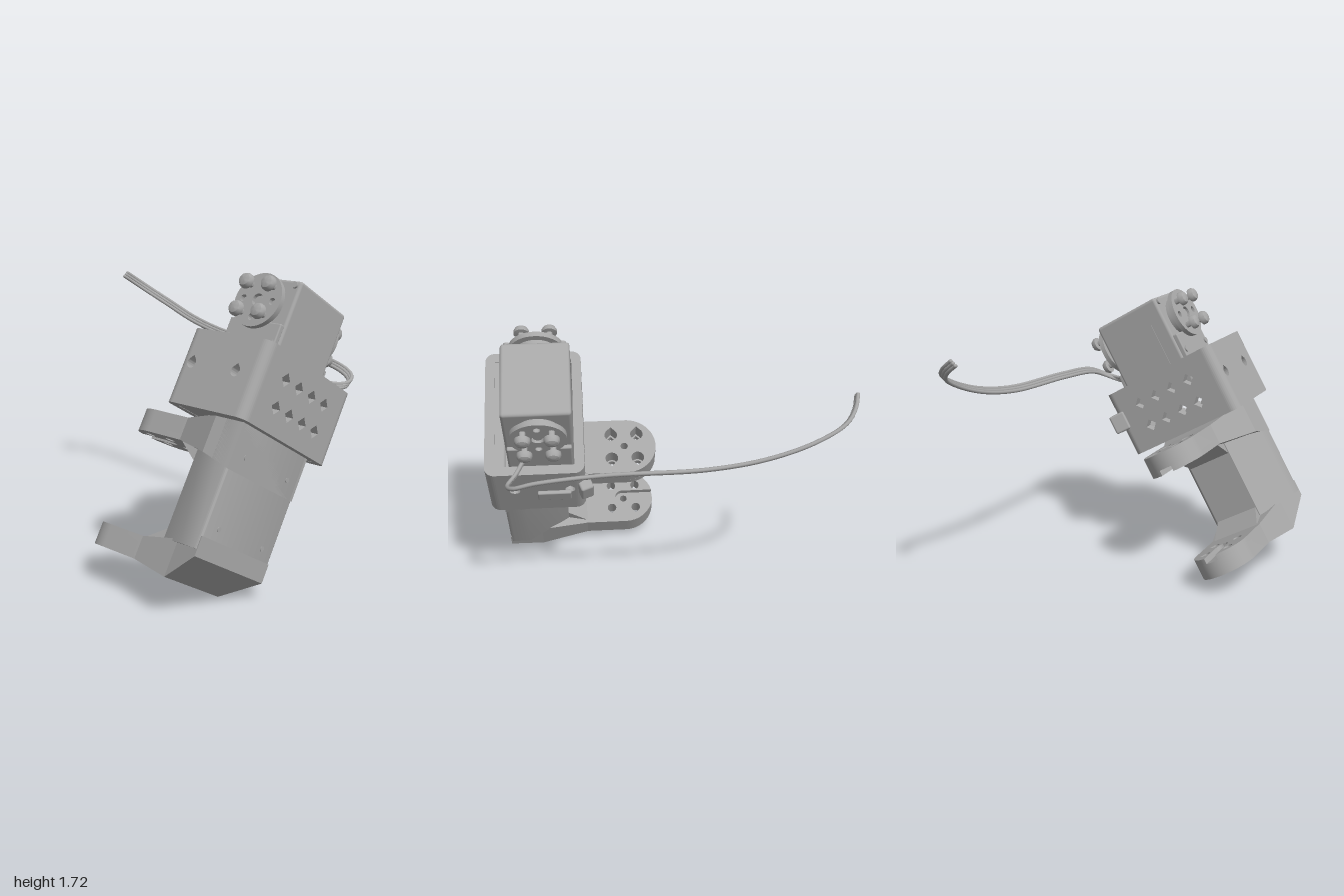
import * as THREE from 'three';
import { toCreasedNormals } from 'three/addons/utils/BufferGeometryUtils.js';
import { RoundedBoxGeometry } from 'three/addons/geometries/RoundedBoxGeometry.js';
import { ConvexGeometry } from 'three/addons/geometries/ConvexGeometry.js';

const grey = new THREE.MeshStandardMaterial({ color: 0xa6a6a6 });
grey.name = 'grey plastic';

function add(parent, name, geo, x = 0, y = 0, z = 0) {
  const m = new THREE.Mesh(geo, grey);
  m.name = name;
  m.position.set(x, y, z);
  parent.add(m);
  return m;
}

const extrude = (shape, depth) =>
  toCreasedNormals(new THREE.ExtrudeGeometry(shape, { depth, bevelEnabled: false, curveSegments: 20 }), 0.6);

// Box given by its low and high corners
function box(parent, name, a, b, r = 0) {
  const s = b.map((v, i) => v - a[i]);
  const g = r ? new RoundedBoxGeometry(...s, 3, r) : new THREE.BoxGeometry(...s);
  return add(parent, name, g, ...a.map((v, i) => (v + b[i]) / 2));
}

const circle = (x, y, r) => new THREE.Path().absarc(x, y, r, 0, Math.PI * 2, false);

// Round hole with one pointed side
function teardrop(x, y, r, dir) {
  const p = new THREE.Path();
  const q = Math.PI / 4;
  if (dir > 0) p.absarc(x, y, r, 3 * q, 9 * q, false);
  else p.absarc(x, y, r, -q, 5 * q, false);
  p.lineTo(x, y + dir * r * 1.41);
  p.closePath();
  return p;
}

function diamond(x, y, r) {
  return new THREE.Path([[r, 0], [0, r], [-r, 0], [0, -r]].map(([a, b]) => new THREE.Vector2(x + a, y + b)));
}

function rect(x0, y0, x1, y1) {
  return new THREE.Shape([[x0, y0], [x1, y0], [x1, y1], [x0, y1]].map(p => new THREE.Vector2(...p)));
}

// Solid between two rectangles [x, y0, y1, halfDepth]
function taper(a, b) {
  const pts = [];
  for (const [x, y0, y1, h] of [a, b])
    for (const y of [y0, y1]) for (const z of [-h, h]) pts.push(new THREE.Vector3(x, y, z));
  return new ConvexGeometry(pts);
}

// One arm with a rounded drilled end, cable slot on the inside, flared root and heel
function makeArm(name, flareHalf, heelBottom) {
  const g = new THREE.Group();
  g.name = name;
  const R = 0.18, cx = 0.2, H = Math.PI / 2, s = 0.042, k = Math.asin(s / R);
  const plain = new THREE.Shape();
  plain.moveTo(0.5, -R);
  plain.lineTo(cx, -R);
  plain.absarc(cx, 0, R, -H, H, true);
  plain.lineTo(0.5, R);
  const slotted = new THREE.Shape();
  slotted.moveTo(0.5, -R);
  slotted.lineTo(cx, -R);
  slotted.absarc(cx, 0, R, -H, -Math.PI + k, true);
  slotted.lineTo(0.22, -s);
  slotted.absarc(0.22, 0, s, -H, H, false);
  slotted.absarc(cx, 0, R, Math.PI - k, H, true);
  slotted.lineTo(0.5, R);
  for (const [sh, r] of [[plain, 0.038], [slotted, 0.028]])
    for (const dx of [-0.078, 0.078]) for (const dz of [-0.08, 0.08])
      sh.holes.push(teardrop(0.21 + dx, dz, r, dz > 0 ? 1 : -1));
  plain.holes.push(circle(0.21, 0, 0.022));
  add(g, 'armPlate', extrude(plain, 0.095).rotateX(H), 0, -0.3125, 0);
  add(g, 'armSlotPlate', extrude(slotted, 0.035).rotateX(H), 0, -0.2775, 0);
  add(g, 'armFlare', taper([0.45, -0.4075, -0.2775, 0.18], [0.743, -0.4375, -0.23, flareHalf]));
  add(g, 'armHeel', taper([0.743, -0.4375, -0.23, flareHalf], [0.94, heelBottom, -0.18, 0.3]));
  // Sloping web between arm and spine
  add(g, 'gusset', taper([0.45, -0.3, -0.278, 0.16], [0.6, -0.3, -0.17, 0.14]));
  return g;
}

function makeBracket() {
  const g = new THREE.Group();
  g.name = 'forkBracket';
  g.position.set(0, 0.2675, 0.54);
  const upper = makeArm('upperArm', 0.3, -0.4375);
  upper.rotation.x = Math.PI;
  g.add(makeArm('lowerArm', 0.235, -0.2875), upper);
  // Spine: flat outside, broad slanted faces towards the inside
  const s = new THREE.Shape();
  s.moveTo(0.57, -0.15);
  s.lineTo(0.82, -0.3);
  s.lineTo(0.92, -0.3);
  s.quadraticCurveTo(0.94, -0.3, 0.94, -0.28);
  s.lineTo(0.94, 0.28);
  s.quadraticCurveTo(0.94, 0.3, 0.92, 0.3);
  s.lineTo(0.82, 0.3);
  s.lineTo(0.57, 0.15);
  add(g, 'spine', extrude(s, 0.68).rotateX(Math.PI / 2), 0, 0.43, 0);
  // Pin heads on the outer face
  for (const y of [-0.118, 0.272]) for (const z of [-0.195, 0.195])
    add(g, 'pin', new THREE.CylinderGeometry(0.014, 0.014, 0.008, 16).rotateZ(Math.PI / 2), 0.94, y, z);
  return g;
}

function makeCuff() {
  const g = new THREE.Group();
  g.name = 'cuff';
  const x0 = 0.45, x1 = 1.0, y0 = 0.695, y1 = 1.12, z0 = 0.137, z1 = 0.938, t = 0.055;
  // Side walls with two rows of diamond holes
  const side = rect(z0 + t, y0, z1 - t, y1);
  for (const y of [0.832, 0.986]) for (let i = 0; i < 4; i++)
    side.holes.push(diamond(0.345 + i * 0.125, y, 0.038));
  for (const [name, x] of [['leftWall', x1], ['rightWall', x0 + t]])
    add(g, name, extrude(side, t).rotateY(-Math.PI / 2), x);
  // Front and back walls with screw holes
  const face = rect(x0 + t, y0, x1 - t, y1);
  for (const x of [0.535, 0.845]) face.holes.push(teardrop(x, 0.927, 0.03, 1));
  add(g, 'frontWall', extrude(face, t), 0, 0, z1 - t);
  add(g, 'backWall', extrude(face, t), 0, 0, z0);
  // Rounded vertical corners
  [[x1 - t, z1 - t], [x0 + t, z1 - t], [x0 + t, z0 + t], [x1 - t, z0 + t]].forEach(([x, z], i) => {
    const q = new THREE.Shape();
    q.moveTo(0, 0);
    q.absarc(0, 0, t, i * Math.PI / 2, (i + 1) * Math.PI / 2, false);
    q.lineTo(0, 0);
    add(g, 'corner', extrude(q, y1 - y0).rotateX(Math.PI / 2), x, y1, z);
  });
  box(g, 'floor', [x0 + t, y0 + 0.002, z0 + t], [x1 - t, 0.75, z1 - t]);
  // Inner rim along the left and front walls
  box(g, 'sideRim', [0.885, 1.07, z0 + 0.02], [x1 - 0.03, 1.115, z1 - t], 0.018);
  box(g, 'frontRim', [0.59, 1.07, 0.8], [x1 - 0.03, 1.115, z1 - 0.03], 0.018);
  // Cable clip and connector on the back
  const clip = box(g, 'cableClip', [0.415, 0.87, 0.1], [0.49, 0.99, 0.2], 0.012);
  clip.rotation.y = 0.35;
  box(g, 'connector', [0.53, 0.84, 0.115], [0.72, 0.92, 0.14], 0.008);
  return g;
}

// Disc horn with four standing screws, facing +z
function makeHorn(name) {
  const g = new THREE.Group();
  g.name = name;
  const H = Math.PI / 2;
  add(g, 'boss', new THREE.CylinderGeometry(0.12, 0.12, 0.05, 40).rotateX(H), 0, 0, 0.25);
  const disc = new THREE.Shape().absarc(0, 0, 0.155, 0, Math.PI * 2, false);
  for (let i = 0; i < 4; i++) disc.holes.push(circle(0.1 * Math.cos(i * H), 0.1 * Math.sin(i * H), 0.02));
  disc.holes.push(circle(0, 0, 0.035));
  add(g, 'disc', extrude(disc, 0.03), 0, 0, 0.272);
  add(g, 'centreScrew', new THREE.CylinderGeometry(0.026, 0.026, 0.02, 24).rotateX(H), 0, 0, 0.28);
  const profile = [[0.018, 0], [0.018, 0.045], [0.043, 0.047], [0.043, 0.064], [0.034, 0.08], [0.018, 0.086], [0, 0.087]];
  const screw = toCreasedNormals(
    new THREE.LatheGeometry(profile.map(p => new THREE.Vector2(...p)), 24).rotateX(H), 0.6);
  for (const x of [-0.077, 0.077]) for (const y of [-0.08, 0.08]) add(g, 'screw', screw, x, y, 0.295);
  return g;
}

function makeServo() {
  const g = new THREE.Group();
  g.name = 'servo';
  box(g, 'case', [0.505, 0.88, 0.272], [0.88, 1.53, 0.73], 0.018);
  box(g, 'frontCover', [0.515, 0.9, 0.725], [0.87, 1.27, 0.758], 0.008);
  box(g, 'backCover', [0.515, 0.9, 0.25], [0.87, 1.2, 0.278], 0.008);
  // Cover screws
  for (const x of [0.54, 0.845]) for (const y of [1.16, 1.5])
    add(g, 'coverScrew', new THREE.CylinderGeometry(0.018, 0.018, 0.04, 16).rotateX(Math.PI / 2), x, y, y < 1.3 ? 0.747 : 0.722);
  // Case seams on both sides
  for (const x of [0.505, 0.88])
    box(g, 'seam', [x - 0.002, 1.1, 0.628], [x + 0.002, 1.47, 0.634]);
  const front = makeHorn('frontHorn');
  front.position.set(0.692, 1.37, 0.5);
  const back = makeHorn('backHorn');
  back.position.set(0.69, 1.37, 0.515);
  back.rotation.y = Math.PI;
  g.add(front, back);
  return g;
}

// Three-strand cable trailing from the back of the servo
function makeCable() {
  const g = new THREE.Group();
  g.name = 'cable';
  const path = [[0.75, 1.14, -0.34], [0.82, 1.067, -0.47], [0.865, 1.06, -0.58], [0.83, 1.09, -0.655],
    [0.71, 1.135, -0.685], [0.35, 1.175, -0.695], [-0.19, 1.205, -0.725], [-0.5, 1.265, -0.742],
    [-0.75, 1.355, -0.74], [-0.91, 1.435, -0.7], [-0.965, 1.49, -0.64], [-0.987, 1.535, -0.575]];
  for (const k of [-1, 0, 1]) {
    const curve = new THREE.CatmullRomCurve3(
      path.map(([x, y, z]) => new THREE.Vector3(x, y + k * 0.011, z - k * 0.014)));
    add(g, 'strand', new THREE.TubeGeometry(curve, 90, 0.011, 10));
    for (const t of [0, 1]) {
      const cap = add(g, 'strandEnd', new THREE.SphereGeometry(0.011, 10, 8));
      cap.position.copy(curve.getPoint(t));
    }
  }
  return g;
}

export function createModel() {
  const model = new THREE.Group();
  model.name = 'servoGripperJoint';
  // The whole joint leans back; the cable hangs in world axes
  const joint = new THREE.Group();
  joint.name = 'tiltedJoint';
  joint.rotation.x = -Math.PI / 6;
  joint.add(makeBracket(), makeCuff(), makeServo());
  model.add(joint, makeCable());
  return model;
}
